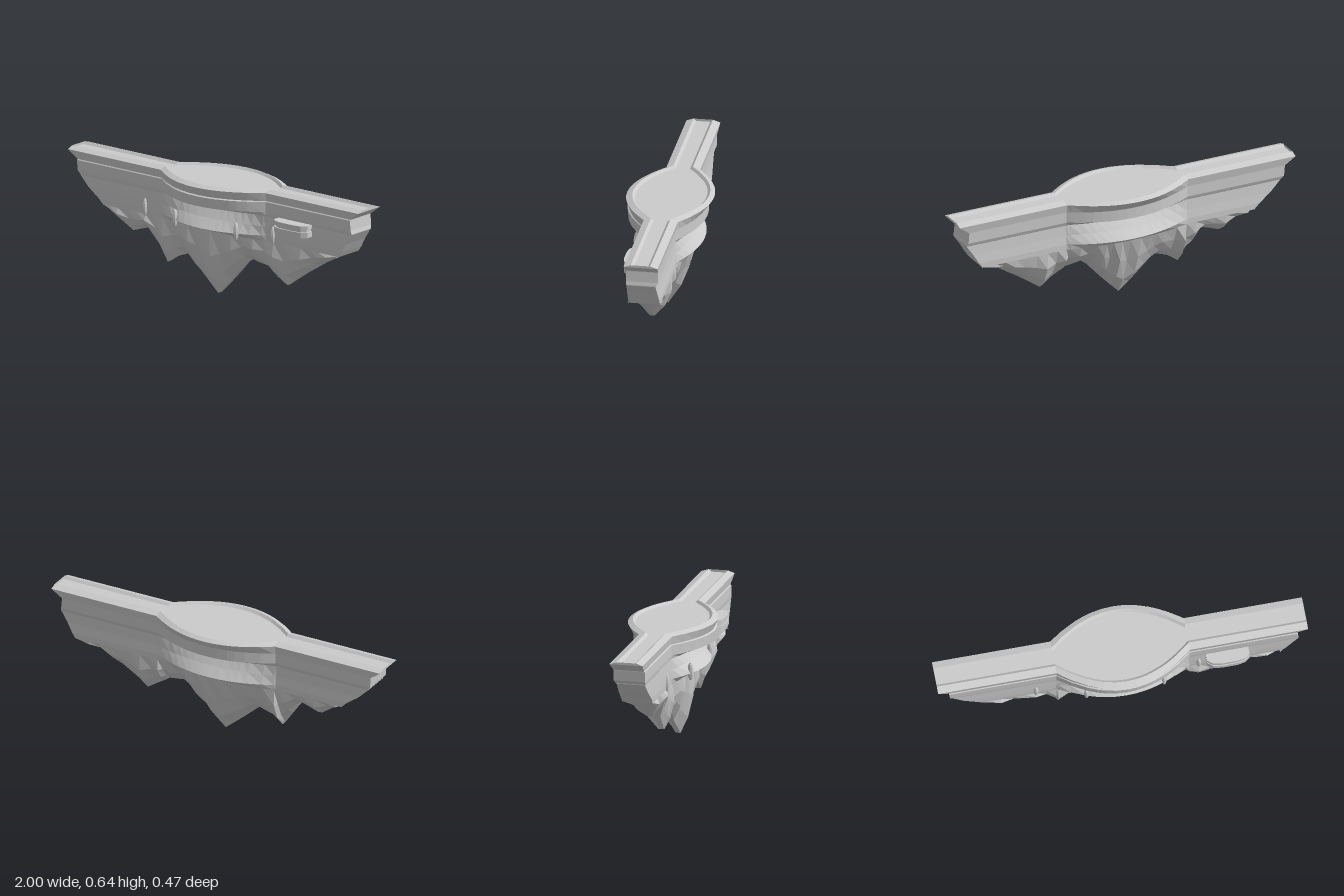
import * as THREE from 'three';

const material = new THREE.MeshStandardMaterial({ color: 0xcccccc, flatShading: true, side: THREE.DoubleSide });

// Lower edge of the hanging rock, as x, y pairs
const KEEL = [[-0.76, 0.36], [-0.72, 0.33], [-0.59, 0.24], [-0.47, 0.28], [-0.35, 0.11], [-0.29, 0.15],
  [-0.21, 0.18], [-0.12, 0.1], [0, 0], [0.1, 0.1], [0.19, 0.2], [0.23, 0.23], [0.34, 0.21], [0.47, 0.125],
  [0.6, 0.215], [0.72, 0.29], [0.85, 0.36]];

function keelY(x) {
  for (let i = 1; i < KEEL.length; i++) {
    const [x0, y0] = KEEL[i - 1], [x1, y1] = KEEL[i];
    if (x >= x0 && x <= x1) return y0 + (y1 - y0) * (x - x0) / (x1 - x0);
  }
  return 0.36;
}

// Swelling of the middle, 0 outside and 1 at the centre
const bulge = (x) => Math.max(0, 1 - (x / 0.36) ** 2);

// Section rows from deck to rock: y, front z, front swelling, back z, back swelling, left end, right end
const WALL = [
  [0.625, 0.03, 0.155, -0.045, -0.15, 1, 1],
  [0.638, 0.045, 0.155, -0.06, -0.15, 1, 1],
  [0.625, 0.083, 0.15, -0.1, -0.135, 1, 1],
  [0.58, 0.075, 0.14, -0.092, -0.108, 0.94, 0.94],
  [0.575, 0.08, 0.145, -0.092, -0.108, 0.94, 0.94],
  [0.52, 0.08, 0.14, -0.092, -0.108, 0.935, 0.945],
  [0.502, 0.078, 0.072, -0.085, -0.06, 0.92, 0.95],
  [0.498, 0.076, 0.016, -0.08, -0.025, 0.92, 0.95],
  [0.44, 0.079, 0.06, -0.084, -0.06, 0.86, 0.91],
  [0.39, 0.08, 0.11, -0.09, -0.096, 0.79, 0.88],
  [0.36, 0.078, 0.035, -0.09, -0.05, 0.76, 0.86],
];
// Rock rows: share of the way down, then as above without y
const ROCK = [
  [0.4, 0.08, 0.02, -0.078, -0.02, 0.76, 0.85],
  [0.75, 0.06, 0.01, -0.04, -0.015, 0.76, 0.85],
  [1, 0.035, 0, 0.008, 0, 0.76, 0.85],
];

function islandGeometry() {
  const stations = [...new Set([
    ...KEEL.map((k) => k[0]), -1, -0.94, -0.92, -0.86, -0.79, -0.66, -0.53, -0.41, -0.36, -0.16, -0.06,
    0.05, 0.14, 0.28, 0.36, 0.41, 0.53, 0.66, 0.78, 0.88, 0.91, 0.945, 1,
  ])].sort((a, b) => a - b);

  const section = (s, i) => {
    const front = [], back = [];
    const add = (y, [zf, bf, zb, bb, left, right], rough) => {
      const x = Math.min(right, Math.max(-left, s)), b = bulge(x);
      front.push([x, y, zf + bf * b + rough * Math.sin(i * 2.1)]);
      back.push([x, y, zb + bb * b + rough * Math.sin(i * 2.7 + 1)]);
    };
    for (const [y, ...row] of WALL) add(y, row, 0);
    for (const [t, ...row] of ROCK) {
      const x = Math.min(row[5], Math.max(-row[4], s));
      add(0.36 + (keelY(x) - 0.36) * t, row, t < 1 ? 0.012 : 0.004);
    }
    return { front, back, loop: [...front, ...back.slice().reverse()] };
  };

  const sections = stations.map(section);
  const positions = [];
  const quad = (a, b, c, d) => positions.push(...a, ...b, ...c, ...a, ...c, ...d);

  // Skin between neighbouring sections
  for (let i = 0; i + 1 < sections.length; i++) {
    const p = sections[i].loop, q = sections[i + 1].loop;
    for (let j = 0; j < p.length; j++) {
      const k = (j + 1) % p.length;
      quad(p[j], p[k], q[k], q[j]);
    }
  }
  // Two ends
  const first = sections[0], last = sections[sections.length - 1];
  for (let j = 0; j + 1 < last.front.length; j++) {
    quad(last.front[j], last.front[j + 1], last.back[j + 1], last.back[j]);
    quad(first.back[j], first.back[j + 1], first.front[j + 1], first.front[j]);
  }

  const geometry = new THREE.BufferGeometry();
  geometry.setAttribute('position', new THREE.Float32BufferAttribute(positions, 3));
  geometry.computeVertexNormals();
  return geometry;
}

// Balcony slab with chamfered outer corners
function slab(name, y, height, inset) {
  const w = 0.115 - inset, d = 0.075 - inset;
  const shape = new THREE.Shape([[-w, 0], [w, 0], [w, d * 0.6], [w * 0.75, d * 0.9], [w * 0.35, d],
    [-w * 0.35, d], [-w * 0.75, d * 0.9], [-w, d * 0.6]].map(([a, b]) => new THREE.Vector2(a, b)));
  const geometry = new THREE.ExtrudeGeometry(shape, { depth: height, bevelEnabled: false });
  geometry.rotateX(Math.PI / 2);
  const mesh = new THREE.Mesh(geometry, material);
  mesh.name = name;
  mesh.position.set(0.562, y + height, 0.072);
  return mesh;
}

export function createModel() {
  const group = new THREE.Group();
  group.name = 'floatingPlatform';

  const island = new THREE.Mesh(islandGeometry(), material);
  island.name = 'deckAndRock';
  group.add(island);

  // Balcony
  const balcony = new THREE.Group();
  balcony.name = 'balcony';
  balcony.add(slab('balconyFloor', 0.44, 0.03, 0), slab('balconyWall', 0.47, 0.018, 0.008),
    slab('balconyRail', 0.485, 0.02, 0));
  group.add(balcony);

  // Narrow upright ovals along the front wall
  const oval = new THREE.SphereGeometry(1, 8, 8);
  for (const x of [-0.47, -0.21, 0.21, 0.41]) {
    const fin = new THREE.Mesh(oval, material);
    fin.name = 'wallFin';
    fin.scale.set(0.013, 0.05, 0.016);
    fin.position.set(x, 0.4, 0.08 + 0.1 * bulge(x));
    group.add(fin);
  }
  return group;
}
